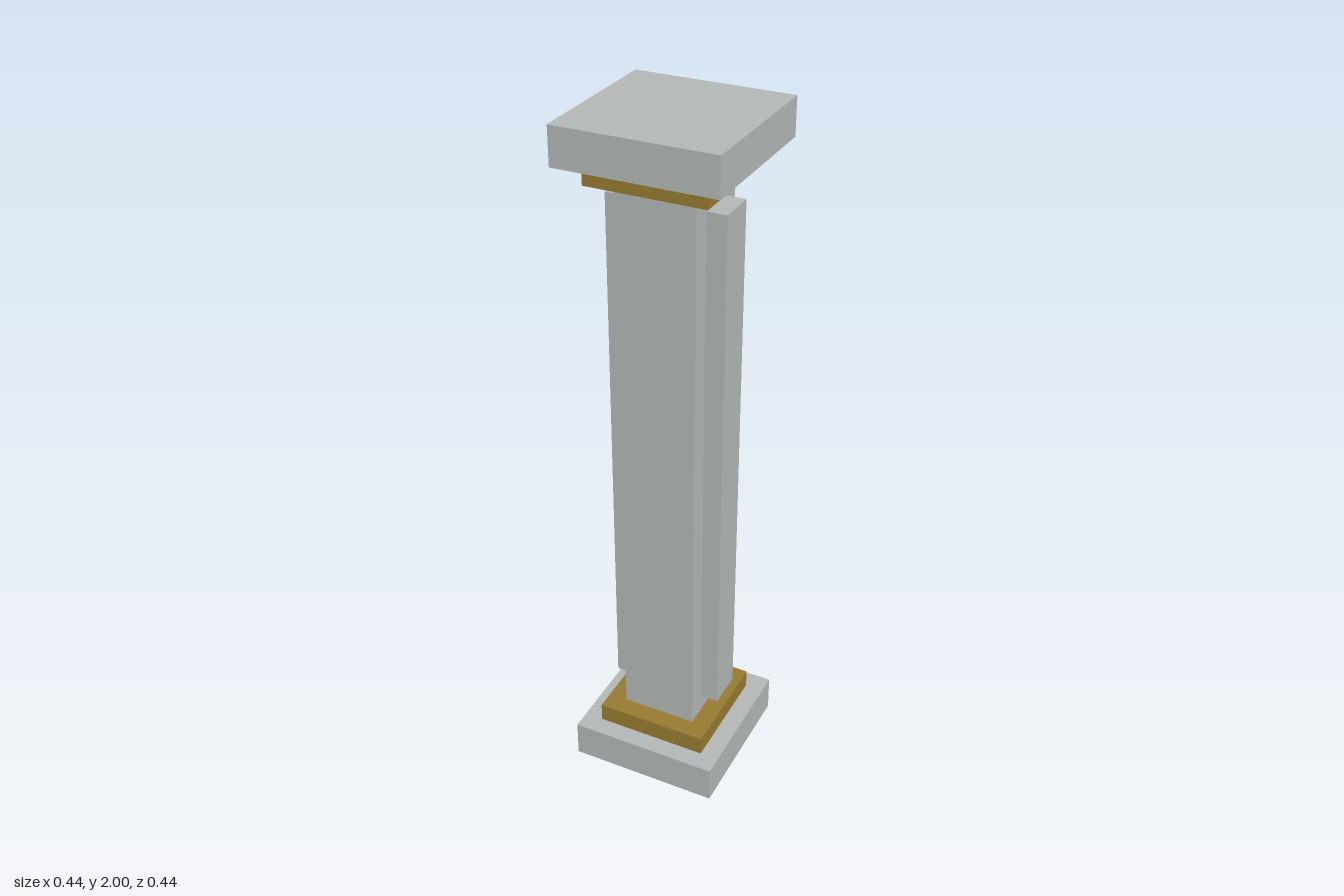
import * as THREE from 'three';

export function createModel() {
  const group = new THREE.Group();
  const stone = new THREE.MeshStandardMaterial({ color: 0xb2b8b7 });
  stone.name = 'grey stone';
  const gold = new THREE.MeshStandardMaterial({ color: 0x967a30 });
  gold.name = 'dull gold';

  // Box centred on the axis, spanning y0 to y1
  const block = (name, material, width, depth, y0, y1) => {
    const mesh = new THREE.Mesh(new THREE.BoxGeometry(width, y1 - y0, depth), material);
    mesh.position.y = (y0 + y1) / 2;
    mesh.name = name;
    group.add(mesh);
    return mesh;
  };

  // Base, shaft and capital
  block('basePlinth', stone, 0.444, 0.444, 0, 0.111);
  block('baseBand', gold, 0.333, 0.333, 0.111, 0.168);
  block('shaft', stone, 0.222, 0.222, 0.168, 1.839);
  block('capitalBand', gold, 0.333, 0.333, 1.839, 1.895);
  block('capitalSlab', stone, 0.444, 0.444, 1.895, 2);

  // Raised strips on the two sides of the shaft
  for (const [name, side] of [['leftStrip', 1], ['rightStrip', -1]]) {
    block(name, stone, 0.056, 0.111, 0.228, 1.783).position.x = side * 0.139;
  }
  return group;
}
